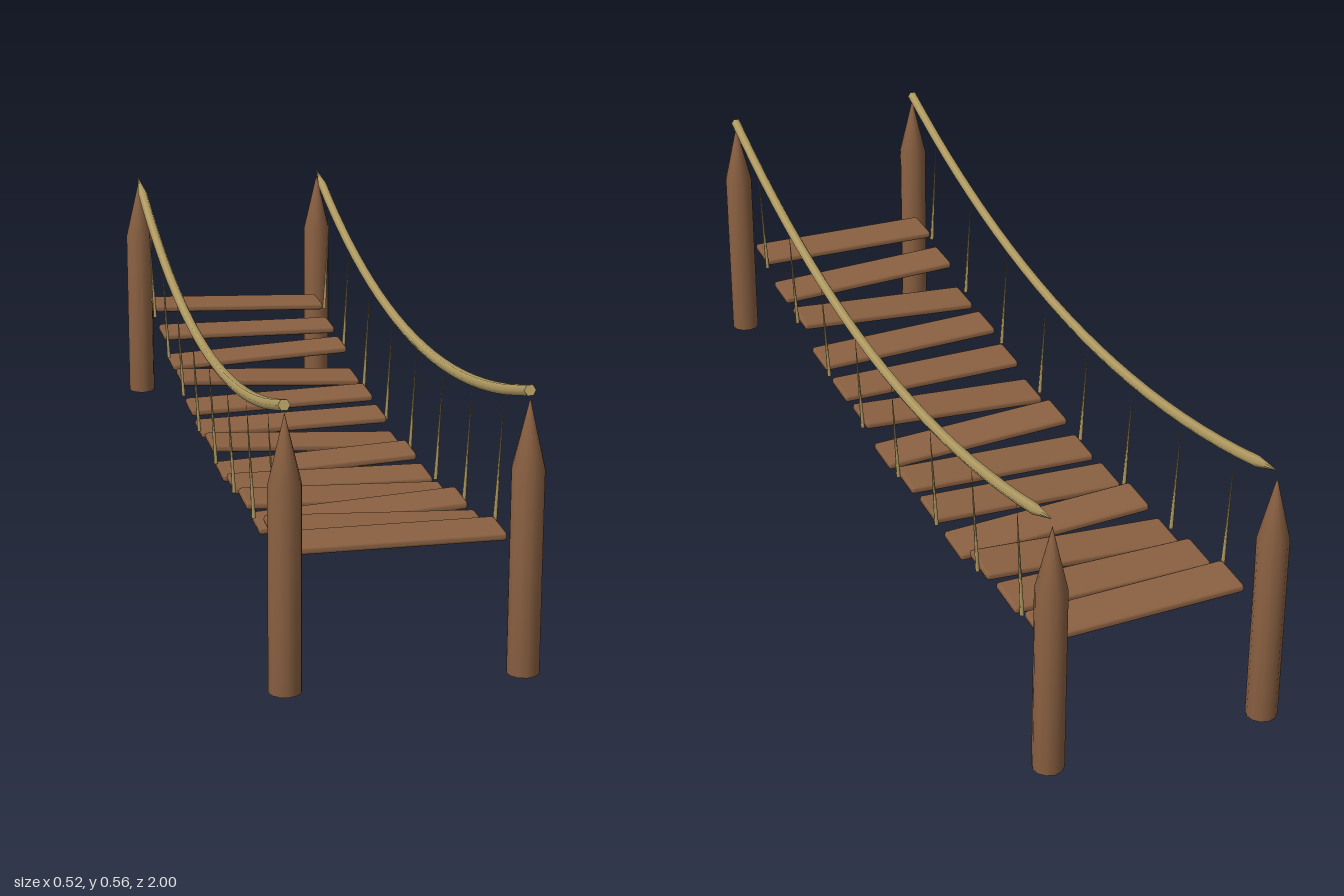
import * as THREE from 'three';
import { RoundedBoxGeometry } from 'three/addons/geometries/RoundedBoxGeometry.js';

const RAIL_X = 0.228, POST_Z = 0.968;
const ropeY = z => 0.402 + 0.152 * (z / 0.966) ** 2;
const deckY = z => 0.157 + 0.09 * (z / 0.852) ** 2;

// Rope: six-sided tube whose last ring narrows to a point, closed at its start
function ropeGeometry(points, radius, segments) {
  const curve = new THREE.CatmullRomCurve3(points);
  const sides = 6;
  const geo = new THREE.TubeGeometry(curve, segments, radius, sides, false);
  const pos = geo.attributes.position;
  const end = points[points.length - 1];
  for (let i = segments * (sides + 1); i < pos.count; i++) pos.setXYZ(i, end.x, end.y, end.z);
  return geo;
}

export function createModel() {
  const bridge = new THREE.Group();
  bridge.name = 'ropeBridge';
  const wood = new THREE.MeshStandardMaterial({ color: 0x8b6142 });
  wood.name = 'brown wood';
  const rope = new THREE.MeshStandardMaterial({ color: 0xb39d63 });
  rope.name = 'tan rope';

  const add = (name, geo, mat, x = 0, y = 0, z = 0) => {
    const mesh = new THREE.Mesh(geo, mat);
    mesh.name = name;
    mesh.position.set(x, y, z);
    bridge.add(mesh);
    return mesh;
  };

  // Pointed posts at the four corners
  const postGeo = new THREE.LatheGeometry(
    [[0, 0], [0.032, 0], [0.032, 0.405], [0, 0.541]].map(p => new THREE.Vector2(...p)), 12);
  for (const x of [-RAIL_X, RAIL_X])
    for (const z of [-POST_Z, POST_Z]) add('post', postGeo, wood, x, 0, z);

  // Deck planks along the sag, each tipped a little to one side
  const plankGeo = new RoundedBoxGeometry(0.424, 0.017, 0.1, 1, 0.007);
  for (let i = 0; i < 13; i++) {
    const z = 0.852 - i * 0.142;
    add('plank', plankGeo, wood, 0, deckY(z), z).rotation.z = -0.06 * Math.sin(i * 2.3);
  }

  for (const side of [-1, 1]) {
    // Sagging hand rope with a flat front end
    const points = [];
    for (let i = 0; i <= 12; i++) {
      const z = 0.966 * (1 - i / 6);
      points.push(new THREE.Vector3(side * RAIL_X, ropeY(z), z));
    }
    add('handRope', ropeGeometry(points, 0.0115, 24), rope);
    const cap = add('handRopeEnd', new THREE.CircleGeometry(0.0115, 6), rope,
      side * RAIL_X, ropeY(0.966), 0.966);
    cap.rotation.x = -0.3;

    // Thin hangers narrowing upwards from the deck edge to the hand rope
    for (let i = 0; i < 8; i++) {
      const z = 0.8 - i * 0.2286;
      const bottom = new THREE.Vector3(side * 0.214, deckY(z), z);
      const top = new THREE.Vector3(side * RAIL_X, ropeY(z), z);
      add('hanger', ropeGeometry([bottom, top], 0.0045, 1), rope);
    }
  }
  return bridge;
}
